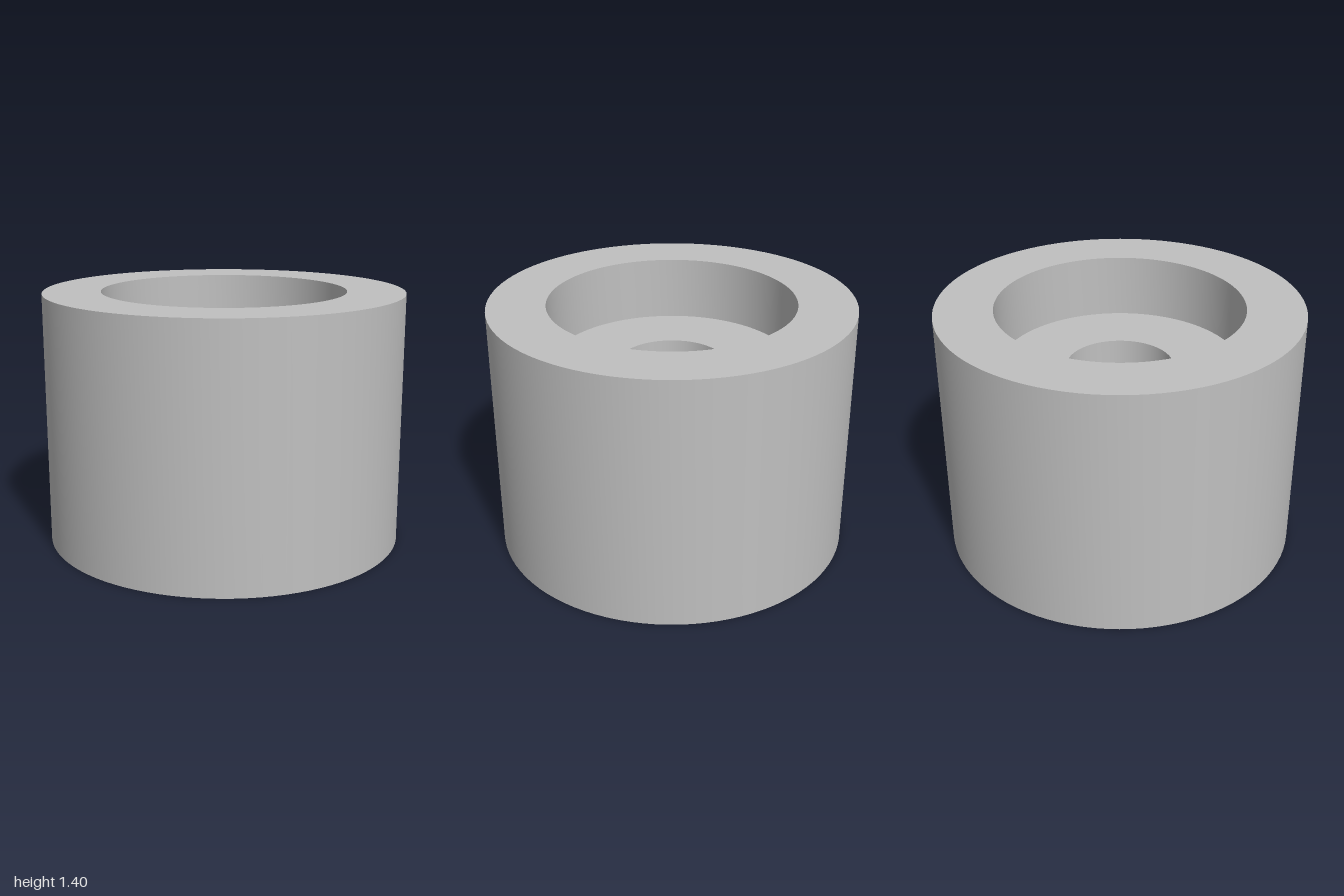
import * as THREE from 'three';
import { toCreasedNormals } from 'three/addons/utils/BufferGeometryUtils.js';

export function createModel() {
  const group = new THREE.Group();
  group.name = 'counterboredCylinder';
  const grey = new THREE.MeshStandardMaterial({ color: 0xc0c0c0 });
  grey.name = 'light grey';

  // Half section: base, outer wall, rim, wide recess, narrow blind hole
  const profile = [
    [0, 0], [1, 0], [1, 1.4],
    [0.68, 1.4], [0.68, 1.04],
    [0.297, 1.04], [0.297, 0.35], [0, 0.35],
  ].map(([r, y]) => new THREE.Vector2(r, y));

  const body = new THREE.Mesh(
    toCreasedNormals(new THREE.LatheGeometry(profile, 96), Math.PI / 6),
    grey,
  );
  body.name = 'body';
  group.add(body);
  return group;
}
